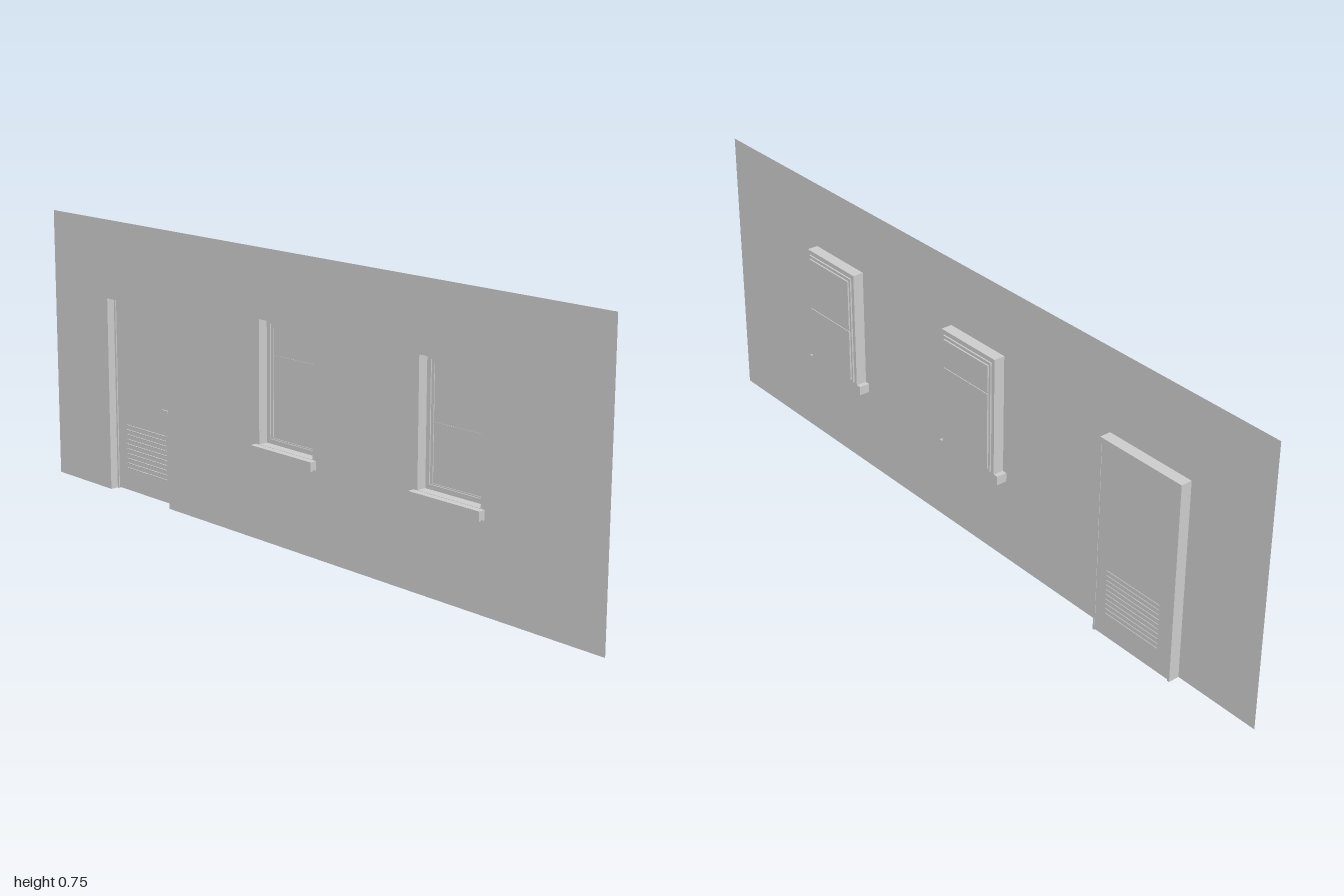
import * as THREE from 'three';

const mat = new THREE.MeshStandardMaterial({ color: 0xcccccc, flatShading: true, side: THREE.DoubleSide });
const FRONT = 0.01, BACK = -0.02;

function add(parent, name, geometry) {
  const m = new THREE.Mesh(geometry, mat);
  m.name = name;
  parent.add(m);
  return m;
}

// Box given by its limits on each axis
function box(parent, name, x0, x1, y0, y1, z0, z1) {
  const m = add(parent, name, new THREE.BoxGeometry(x1 - x0, y1 - y0, z1 - z0));
  m.position.set((x0 + x1) / 2, (y0 + y1) / 2, (z0 + z1) / 2);
  return m;
}

// Flat rectangular outline
function rect(Type, x0, x1, y0, y1) {
  return new Type([[x0, y0], [x1, y0], [x1, y1], [x0, y1]].map(p => new THREE.Vector2(...p)));
}

// Rectangular ring with border w
function ring(parent, name, x0, x1, y0, y1, w, z0, z1) {
  const s = rect(THREE.Shape, x0, x1, y0, y1);
  s.holes.push(rect(THREE.Path, x0 + w, x1 - w, y0 + w, y1 - w));
  add(parent, name, new THREE.ExtrudeGeometry(s, { depth: z1 - z0, bevelEnabled: false })).position.z = z0;
}

// Thin sheets lining the sides and head of an opening
function reveal(parent, x0, x1, y0, y1) {
  const depth = FRONT - BACK, z = (FRONT + BACK) / 2;
  for (const x of [x0, x1]) {
    const side = add(parent, 'revealSide', new THREE.PlaneGeometry(depth, y1 - y0));
    side.rotation.y = x === x0 ? Math.PI / 2 : -Math.PI / 2;
    side.position.set(x, (y0 + y1) / 2, z);
  }
  const head = add(parent, 'revealHead', new THREE.PlaneGeometry(x1 - x0, depth));
  head.rotation.x = Math.PI / 2;
  head.position.set((x0 + x1) / 2, y1, z);
}

// Sash window with a projecting sill
function makeWindow(name, x0, x1, railY) {
  const g = new THREE.Group();
  g.name = name;
  const y0 = 0.25, y1 = 0.57;
  reveal(g, x0, x1, y0, y1);
  ring(g, 'outerFrame', x0, x1, y0, y1, 0.012, BACK, -0.016);
  ring(g, 'innerFrame', x0 + 0.01, x1 - 0.01, 0.255, 0.558, 0.01, -0.024, -0.019);
  // two panes meeting at the rail
  const a = x0 + 0.016, b = x1 - 0.016;
  box(g, 'lowerPane', a, b, 0.262, railY - 0.003, -0.028, -0.021);
  box(g, 'upperPane', a, b, railY + 0.003, 0.55, -0.028, -0.021);
  box(g, 'meetingRail', a, b, railY - 0.003, railY + 0.003, -0.026, -0.02);
  // sill with a drip groove below its nose
  const profile = [[-0.019, 0.225], [0.016, 0.225], [0.016, 0.228], [0.021, 0.228],
    [0.021, 0.225], [0.028, 0.225], [0.028, 0.249], [-0.019, 0.25]];
  const s = new THREE.Shape(profile.map(([z, y]) => new THREE.Vector2(-z, y)));
  const sill = add(g, 'sill', new THREE.ExtrudeGeometry(s, { depth: x1 - x0 + 0.025, bevelEnabled: false }));
  sill.rotation.y = Math.PI / 2;
  sill.position.x = x0 - 0.0125;
  return g;
}

function makeDoor(x0, x1, y1) {
  const g = new THREE.Group();
  g.name = 'door';
  reveal(g, x0, x1, 0, y1);
  // frame and leaf
  box(g, 'frameJamb', x0, x0 + 0.006, 0, y1, BACK, -0.012);
  box(g, 'frameJamb', x1 - 0.006, x1, 0, y1, BACK, -0.012);
  box(g, 'frameHead', x0, x1, y1 - 0.006, y1, BACK, -0.012);
  box(g, 'leaf', x0 + 0.006, x1 - 0.006, 0.003, y1 - 0.006, -0.019, -0.015);
  // ventilation louvre, slats sloping down toward the front
  const count = 10;
  for (let i = 0; i < count; i++) {
    const slat = box(g, 'louvreSlat', -0.715, -0.54, 0, 0.0015, -0.021, -0.013);
    slat.position.y = 0.068 + i * 0.0134;
    slat.rotation.x = 0.6;
  }
  // lever handle
  box(g, 'handlePlate', -0.525, -0.515, 0.232, 0.272, -0.015, -0.013);
  const spindle = add(g, 'handleSpindle', new THREE.CylinderGeometry(0.003, 0.003, 0.012, 10));
  spindle.rotation.x = Math.PI / 2;
  spindle.position.set(-0.52, 0.26, -0.008);
  box(g, 'handleLever', -0.54, -0.517, 0.257, 0.263, -0.005, -0.001);
  return g;
}

export function createModel() {
  const model = new THREE.Group();
  model.name = 'wallWithDoorAndWindows';
  const door = [-0.76, -0.5, 0.535];
  const windows = [['middleWindow', -0.13, 0.07, 0.475], ['leftWindow', 0.43, 0.63, 0.408]];

  // wall sheet, notched for the door and pierced for the windows
  const outline = [[-1, 0], [door[0], 0], [door[0], door[2]], [door[1], door[2]], [door[1], 0],
    [1, 0], [1, 0.75], [-1, 0.75]];
  const wall = new THREE.Shape(outline.map(p => new THREE.Vector2(...p)));
  for (const [, x0, x1] of windows) wall.holes.push(rect(THREE.Path, x0, x1, 0.25, 0.57));
  add(model, 'wall', new THREE.ShapeGeometry(wall)).position.z = FRONT;

  model.add(makeDoor(...door));
  for (const w of windows) model.add(makeWindow(...w));
  return model;
}
